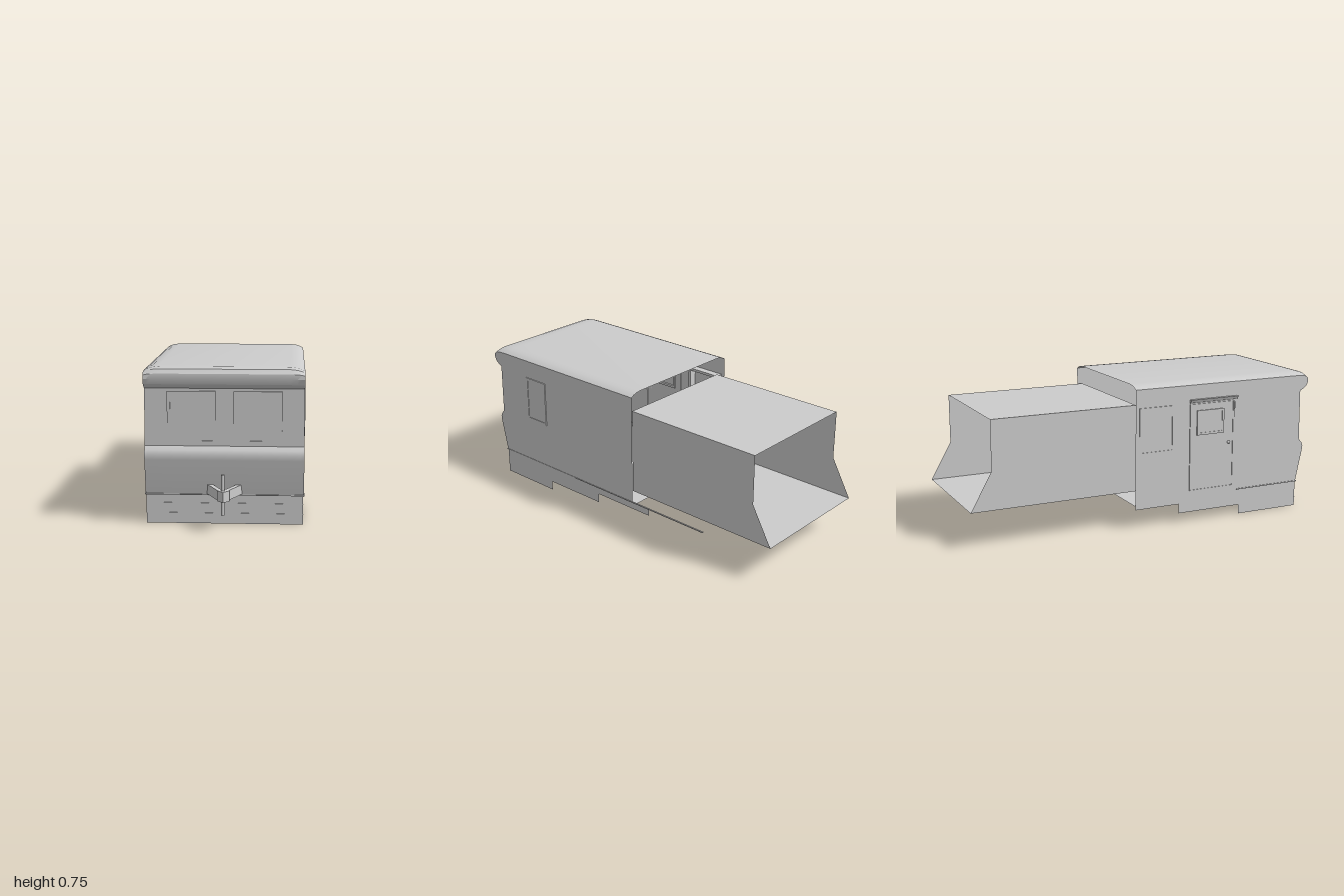
import * as THREE from 'three';
import { toCreasedNormals } from 'three/addons/utils/BufferGeometryUtils.js';

const grey = new THREE.MeshStandardMaterial({ color: 0xcccccc, side: THREE.DoubleSide });
const CX = 0.005, LEFT = 0.375, RIGHT = -0.365;

export function createModel() {
  const root = new THREE.Group();

  const add = (name, geo, x = 0, y = 0, z = 0, parent = root) => {
    const mesh = new THREE.Mesh(geo, grey);
    mesh.name = name;
    mesh.position.set(x, y, z);
    parent.add(mesh);
    return mesh;
  };
  const box = (name, x0, x1, y0, y1, z0, z1) => add(name,
    new THREE.BoxGeometry(x1 - x0, y1 - y0, z1 - z0), (x0 + x1) / 2, (y0 + y1) / 2, (z0 + z1) / 2);
  const shapeOf = pts => new THREE.Shape(pts.map(p => new THREE.Vector2(p[0], p[1])));
  // flat sheet standing in the (z, y) plane at a given x
  const sideSheet = (name, pts, x) =>
    add(name, new THREE.ShapeGeometry(shapeOf(pts)).rotateY(-Math.PI / 2), x);
  const rect = (w, h) => [[-w / 2, -h / 2], [w / 2, -h / 2], [w / 2, h / 2], [-w / 2, h / 2]];

  // framed pane facing +z, then turned to the wall it sits on
  const framed = (name, w, h, rim, depth, x, y, z, turn = 0) => {
    const g = new THREE.Group();
    g.name = name;
    const s = shapeOf(rect(w, h));
    s.holes.push(new THREE.Path(shapeOf(rect(w - 2 * rim, h - 2 * rim)).getPoints().reverse()));
    const frame = new THREE.ExtrudeGeometry(s, { depth, bevelEnabled: false });
    add('frame', frame, 0, 0, 0.005 - depth, g);
    add('pane', new THREE.PlaneGeometry(w - 2 * rim, h - 2 * rim), 0, 0, 0.002, g);
    g.position.set(x, y, z);
    g.rotation.y = turn;
    root.add(g);
  };

  // Cabin shell: front wall, rolled visor and roof as one sheet
  const profile = [[0.835, 0.14], [0.872, 0.31], [0.875, 0.335], [0.867, 0.355], [0.85, 0.373],
    [0.848, 0.642], [0.865, 0.65], [0.886, 0.665], [0.897, 0.69], [0.895, 0.715], [0.88, 0.735],
    [0.85, 0.743], [0.8, 0.745], [-0.14, 0.745]];
  const drop = (y, d) => y - d * Math.max(0, (y - 0.7) / 0.045);
  const columns = [[RIGHT, 0.02], [-0.35, 0.011], [-0.33, 0.004], [-0.3, 0],
    [0.31, 0], [0.34, 0.004], [0.36, 0.011], [LEFT, 0.02]];
  const pos = [], idx = [], n = columns.length;
  profile.forEach(([z, y], j) => columns.forEach(([x, d], i) => {
    pos.push(x, drop(y, d), z);
    if (j && i) {
      const c = j * n + i, b = c - n;
      idx.push(b - 1, b, c, b - 1, c, c - 1);
    }
  }));
  const shell = new THREE.BufferGeometry();
  shell.setAttribute('position', new THREE.Float32BufferAttribute(pos, 3));
  shell.setIndex(idx);
  add('frontAndRoof', toCreasedNormals(shell, 0.5));

  const sidePts = [...profile.map(([z, y]) => [z, drop(y, 0.02)]), [-0.14, 0.14]];
  sideSheet('leftWall', sidePts, LEFT);
  sideSheet('rightWall', sidePts, RIGHT);

  // Stepped skirts, floor and trim strips
  const skirt = end => [[0.835, 0.14], [0.835, 0], [0.475, 0], [0.475, 0.05], [0.11, 0.05],
    [0.11, 0.1], [end, 0.1], [end, 0.14]];
  sideSheet('leftSkirt', skirt(-0.25), 0.372);
  sideSheet('rightSkirt', skirt(-0.14), -0.362);
  add('frontSkirt', new THREE.PlaneGeometry(0.734, 0.14), CX, 0.07, 0.835);
  add('floor', new THREE.PlaneGeometry(0.734, 0.975).rotateX(-Math.PI / 2), CX, 0.12, 0.3475);
  box('leftTrim', 0.37, 0.377, 0.137, 0.142, -0.61, 0.835);
  box('rightTrim', -0.369, -0.362, 0.137, 0.142, 0.46, 0.835);
  box('frontTrim', -0.367, 0.377, 0.137, 0.142, 0.83, 0.841);
  for (const y of [0.05, 0.098]) box('skirtSeam', -0.363, 0.373, y - 0.001, y + 0.001, 0.833, 0.837);

  // Windows
  for (const x of [-0.1475, 0.1595]) framed('frontWindow', 0.225, 0.245, 0.014, 0.03, x, 0.507, 0.85);
  framed('leftWindow', 0.15, 0.245, 0.014, 0.03, LEFT, 0.507, 0.57, Math.PI / 2);
  framed('rightWindow', 0.2, 0.245, 0.014, 0.045, RIGHT, 0.507, -0.02, -Math.PI / 2);

  // Entry door with its window, handle, grab rail and rain hood
  framed('doorOutline', 0.26, 0.46, 0.004, 0.01, RIGHT, 0.395, 0.3, -Math.PI / 2);
  framed('doorWindow', 0.16, 0.13, 0.012, 0.02, RIGHT - 0.004, 0.525, 0.29, -Math.PI / 2);
  add('doorHandle', new THREE.SphereGeometry(0.009, 12, 8), -0.372, 0.405, 0.4);
  const hood = new THREE.ExtrudeGeometry(
    shapeOf([[-0.363, 0.63], [-0.363, 0.65], [-0.381, 0.65], [-0.372, 0.632]]),
    { depth: 0.28, bevelEnabled: false });
  add('rainHood', hood, 0, 0, 0.17);
  box('grabRail', -0.373, -0.365, 0.54, 0.62, 0.43, 0.436);

  // Open rear slide-out: roof, floor and two raked sides
  const slide = [[-0.12, 0.19], [-1, 0.19], [-0.89, 0.385], [-0.89, 0.64], [-0.12, 0.64]];
  sideSheet('slideLeftWall', slide, 0.35);
  sideSheet('slideRightWall', slide, -0.325);
  add('slideRoof', new THREE.PlaneGeometry(0.675, 0.77).rotateX(-Math.PI / 2), 0.0125, 0.64, -0.505);
  add('slideFloor', new THREE.PlaneGeometry(0.675, 0.88).rotateX(-Math.PI / 2), 0.0125, 0.19, -0.56);

  // Tow hitch: two channel arms, coupler and jack post
  for (const s of [-1, 1]) {
    const arm = (name, y0, y1, w) => {
      const outer = 0.085, tip = 0.02;
      const pts = [[CX + s * outer, -0.83], [CX + s * (outer - w), -0.83],
        [CX + s * (tip - w), -0.97], [CX + s * tip, -0.97]];
      const g = new THREE.ExtrudeGeometry(shapeOf(pts), { depth: y1 - y0, bevelEnabled: false });
      add(name, g.rotateX(-Math.PI / 2), 0, y0, 0);
    };
    arm('hitchArmWeb', 0.145, 0.187, 0.006);
    arm('hitchArmLowerFlange', 0.143, 0.149, 0.025);
    arm('hitchArmUpperFlange', 0.183, 0.189, 0.025);
  }
  const coupler = shapeOf([[-0.022, -0.93], [0.036, -0.93], [0.036, -0.965], [0.007, -1], [-0.022, -0.965]]);
  add('coupler', new THREE.ExtrudeGeometry(coupler, { depth: 0.049, bevelEnabled: false })
    .rotateX(-Math.PI / 2), 0, 0.141, 0);
  add('jackPost', new THREE.CylinderGeometry(0.008, 0.008, 0.19, 12), CX, 0.169, 0.965);

  // Support brackets under the floor, with foot plates at the front
  for (const x of [-0.225, 0.235]) {
    for (const z of [0.73, 0.33, -0.05]) {
      const bottom = z > 0.7 ? 0.04 : 0.08;
      box('supportBracket', x - 0.03, x + 0.03, bottom, 0.12, z - 0.03, z + 0.03);
      if (z > 0.7) box('footPlate', x - 0.05, x + 0.05, 0.034, 0.04, z - 0.05, z + 0.05);
    }
  }
  return root;
}
